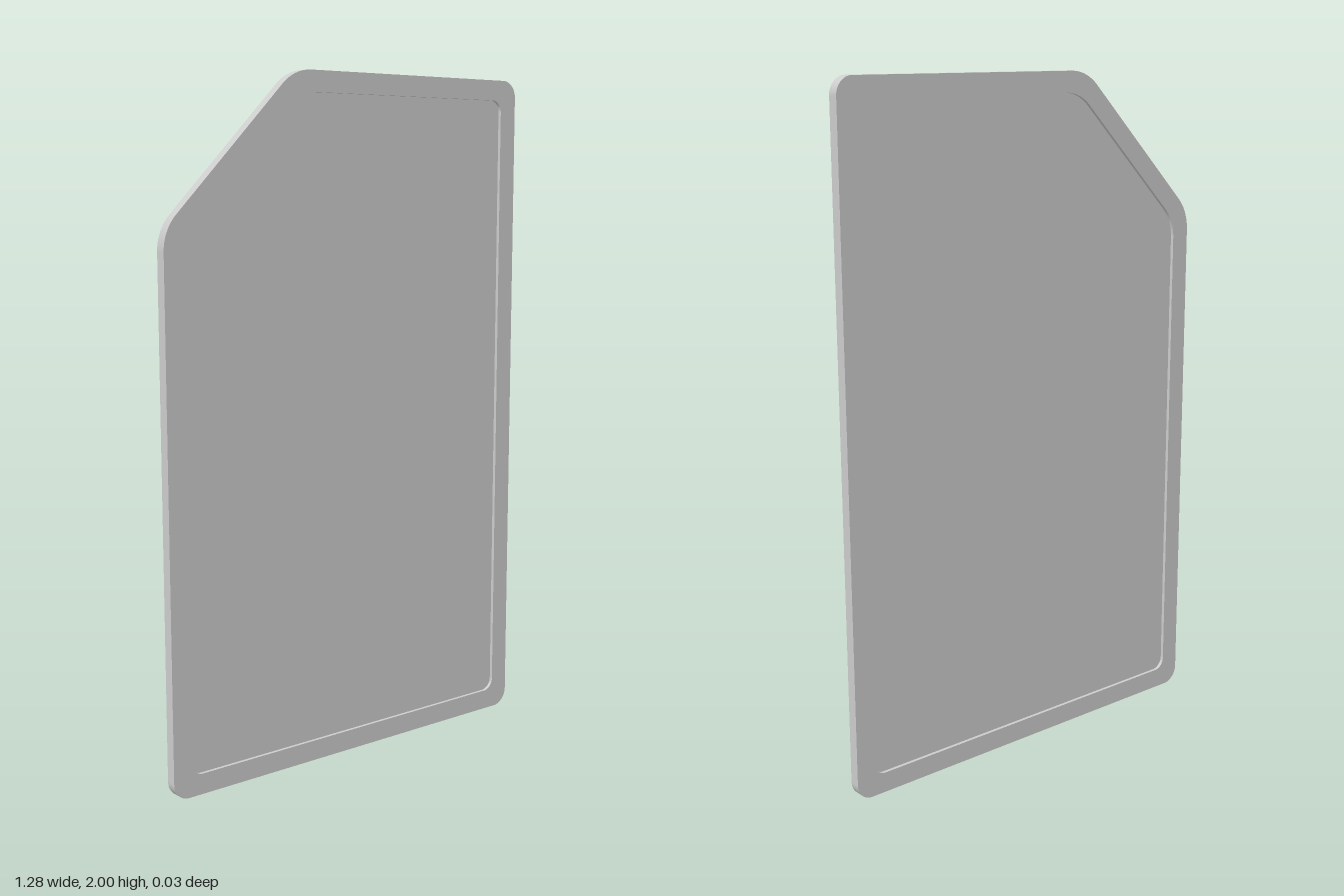
import * as THREE from 'three';

const HALF_DEPTH = 0.016;
const PANEL_HALF_DEPTH = 0.006;

// Closed outline through the corners [x, y, radius], each rounded by a true arc
function roundedOutline(corners, Type = THREE.Shape) {
  const outline = new Type();
  const n = corners.length;
  corners.forEach(([x, y, r], i) => {
    const p = new THREE.Vector2(x, y);
    const a = new THREE.Vector2(...corners[(i + n - 1) % n].slice(0, 2)).sub(p).normalize();
    const b = new THREE.Vector2(...corners[(i + 1) % n].slice(0, 2)).sub(p).normalize();
    const half = Math.acos(a.dot(b)) / 2;
    const start = p.clone().addScaledVector(a, r / Math.tan(half));
    const end = p.clone().addScaledVector(b, r / Math.tan(half));
    const c = p.clone().addScaledVector(a.add(b).normalize(), r / Math.sin(half));
    if (i === 0) outline.moveTo(start.x, start.y);
    else outline.lineTo(start.x, start.y);
    outline.absarc(c.x, c.y, r,
      Math.atan2(start.y - c.y, start.x - c.x),
      Math.atan2(end.y - c.y, end.x - c.x), false);
  });
  outline.closePath();
  return outline;
}

// Rectangle with one chamfered upper corner, counter-clockwise, inset from the edge
function corners(inset, r, chamferR) {
  const x = 0.64 - inset, low = inset, high = 2 - inset;
  const shift = inset * Math.tan(Math.PI / 8);
  return [
    [-x, low, r], [x, low, r], [x, high, r],
    [-0.21 + shift, high, chamferR], [-x, 1.57 - shift, chamferR],
  ];
}

function slab(name, shape, halfDepth, material) {
  const geometry = new THREE.ExtrudeGeometry(shape, {
    depth: 2 * halfDepth, bevelEnabled: false, curveSegments: 10,
  });
  geometry.translate(0, 0, -halfDepth);
  const mesh = new THREE.Mesh(geometry, material);
  mesh.name = name;
  return mesh;
}

export function createModel() {
  const group = new THREE.Group();
  group.name = 'framedPanel';
  const material = new THREE.MeshStandardMaterial({ color: 0xcccccc });

  // Raised rim with an opening
  const inner = corners(0.06, 0.035, 0.13);
  const rim = roundedOutline(corners(0, 0.05, 0.14));
  rim.holes.push(roundedOutline(inner, THREE.Path));
  group.add(slab('rim', rim, HALF_DEPTH, material));

  // Thin panel recessed on both faces
  group.add(slab('panel', roundedOutline(inner), PANEL_HALF_DEPTH, material));
  return group;
}
